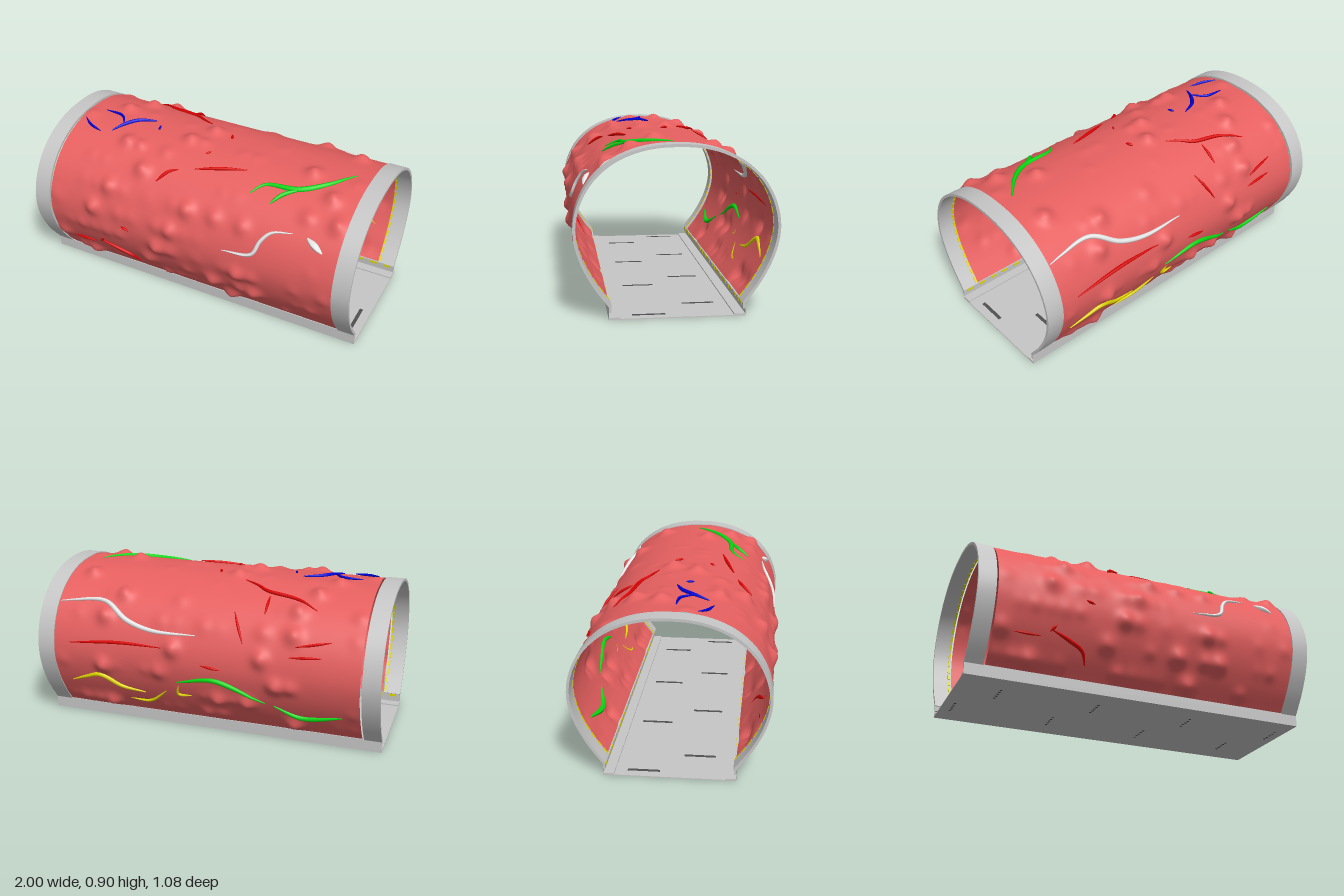
import * as THREE from 'three';
import { toCreasedNormals } from 'three/addons/utils/BufferGeometryUtils.js';

const mat = (name, color, side = THREE.FrontSide) => {
  const m = new THREE.MeshStandardMaterial({ color, side });
  m.name = name;
  return m;
};

// Arch cross-section as (z, y), from front foot over the crown to the back foot
const half = [[0.342, 0.06], [0.425, 0.175], [0.485, 0.29], [0.515, 0.39], [0.521, 0.46], [0.51, 0.54],
  [0.477, 0.63], [0.42, 0.715], [0.33, 0.792], [0.22, 0.844], [0.11, 0.869]];
const arch = new THREE.CatmullRomCurve3([
  ...half.map(([z, y]) => new THREE.Vector3(0, y, z)),
  new THREE.Vector3(0, 0.875, 0),
  ...half.slice().reverse().map(([z, y]) => new THREE.Vector3(0, y, -z)),
]);
arch.arcLengthDivisions = 800;
const N = 160;
const ARC = arch.getLength();
const profile = arch.getSpacedPoints(N);
const normals = profile.map((_, i) => {
  const t = profile[Math.min(i + 1, N)].clone().sub(profile[Math.max(i - 1, 0)]);
  return new THREE.Vector3(0, -t.z, t.y).normalize();
});

// Point on the arch at length fraction u, pushed out along the normal
function archPoint(x, u, offset) {
  const f = THREE.MathUtils.clamp(u, 0, 1) * N;
  const i = Math.min(Math.floor(f), N - 1);
  const p = profile[i].clone().lerp(profile[i + 1], f - i);
  const n = normals[i].clone().lerp(normals[i + 1], f - i).normalize();
  p.addScaledVector(n, offset);
  p.x = x;
  return p;
}

// Arch fraction for a given z over the crown, or a given y on the front or back flank
function fractionAt(face, v) {
  let best = 0, err = Infinity;
  profile.forEach((p, i) => {
    if (face === 'front' && i > N / 2) return;
    if (face === 'back' && i < N / 2) return;
    if (face === 'top' && p.y < 0.46) return;
    const e = Math.abs((face === 'top' ? p.z : p.y) - v);
    if (e < err) { err = e; best = i / N; }
  });
  return best;
}

// Veins: face, radius, then (x, z) on the crown or (x, y) on a flank
const VEINS = {
  blue: [
    ['top', 0.012, [[-0.45, -0.01], [-0.55, 0.03], [-0.61, 0.1], [-0.65, 0.18]]],
    ['top', 0.008, [[-0.79, 0.01], [-0.67, 0.03], [-0.61, 0.1]]],
    ['top', 0.008, [[-0.86, 0.13], [-0.8, 0.18], [-0.71, 0.205]]],
    ['top', 0.007, [[-0.4, 0.03], [-0.39, 0.07]]],
  ],
  red: [
    ['top', 0.011, [[-0.61, -0.335], [-0.475, -0.275], [-0.3, -0.235], [-0.235, -0.185], [-0.15, -0.155]]],
    ['top', 0.008, [[-0.33, -0.39], [-0.33, -0.28]]],
    ['top', 0.008, [[-0.235, -0.49], [-0.16, -0.39]]],
    ['top', 0.008, [[-0.72, -0.46], [-0.53, -0.485]]],
    ['top', 0.01, [[-0.04, 0.27], [0.085, 0.24], [0.245, 0.19]]],
    ['top', 0.01, [[-0.23, 0.39], [-0.18, 0.33], [-0.13, 0.3]]],
    ['top', 0.008, [[0.02, -0.08], [0.04, -0.035]]],
    ['top', 0.006, [[-0.03, 0.16], [-0.01, 0.13]]],
    ['front', 0.012, [[-0.58, 0.27], [-0.47, 0.23], [-0.39, 0.19], [-0.36, 0.13]]],
    ['front', 0.008, [[-0.78, 0.23], [-0.63, 0.23]]],
    ['front', 0.008, [[-0.585, 0.26], [-0.55, 0.3]]],
    ['front', 0.008, [[-0.4, 0.46], [-0.35, 0.44]]],
    ['back', 0.01, [[0.8, 0.51], [0.5, 0.53], [0.23, 0.54]]],
    ['back', 0.008, [[-0.5, 0.56], [-0.68, 0.57]]],
    ['back', 0.008, [[0, 0.46], [-0.12, 0.45]]],
  ],
  green: [
    ['top', 0.016, [[0.32, 0.31], [0.38, 0.25], [0.57, 0.22], [0.7, 0.135], [0.81, 0]]],
    ['top', 0.012, [[0.45, 0.34], [0.5, 0.28], [0.58, 0.22]]],
    ['back', 0.015, [[0.15, 0.33], [-0.07, 0.37], [-0.24, 0.32], [-0.36, 0.26]]],
    ['back', 0.016, [[-0.41, 0.24], [-0.56, 0.18], [-0.79, 0.22]]],
  ],
  white: [
    ['top', 0.015, [[0.04, -0.48], [0.3, -0.48], [0.46, -0.46], [0.62, -0.4], [0.81, -0.41], [0.89, -0.415]]],
    ['front', 0.011, [[0.25, 0.525], [0.425, 0.55], [0.465, 0.635], [0.515, 0.68], [0.63, 0.7]]],
    ['front', 0.02, [[0.71, 0.7], [0.76, 0.68], [0.81, 0.655]]],
  ],
  yellow: [
    ['back', 0.014, [[0.36, 0.22], [0.5, 0.24], [0.62, 0.31], [0.72, 0.29], [0.82, 0.24]]],
    ['back', 0.009, [[0.47, 0.16], [0.35, 0.15], [0.22, 0.26]]],
    ['back', 0.008, [[0.14, 0.32], [0.15, 0.25], [0.07, 0.24]]],
  ],
};
// Unrolled vein paths: x along the tunnel, y along the arch
const veins = Object.entries(VEINS).flatMap(([colour, list]) => list.map(([face, radius, pts]) => ({
  colour,
  radius,
  flat: new THREE.CatmullRomCurve3(pts.map(([x, v]) => new THREE.Vector3(x, fractionAt(face, v) * ARC, 0))).getPoints(24),
})));
const veinPoints = veins.flatMap((v) => v.flat);

// Swellings on a regular grid of cells, with a few tall ones per row, kept clear of the veins
let seed = 11;
const rand = () => {
  seed = (seed * 16807) % 2147483647;
  return seed / 2147483647;
};
const ROWS = 16, COLS = 21;
const bumps = [];
for (let r = 0; r < ROWS; r++) {
  const s = ((r + 0.5) / ROWS) * ARC;
  const flank = r < 5 || r > ROWS - 6;
  const row = [];
  for (let c = 0; c < COLS; c++) {
    const keep = rand() < (flank ? 0.55 : 0.35), h = rand(), w = rand();
    const x = -0.85 + (c * 1.7) / (COLS - 1);
    const clear = veinPoints.every((p) => Math.hypot(p.x - x, p.y - s) > 0.06);
    if (keep && clear) row.push({ x, s, h: 0.004 + 0.018 * h * h, w: 0.036 + 0.012 * w });
  }
  for (const k of [0.1, 0.6]) {
    const tall = row[Math.floor((k + 0.3 * rand()) * row.length)];
    if (tall) { tall.h = 0.034; tall.w = 0.046; }
  }
  bumps.push(...row);
}
function skinPoint(x, u, lift = 0) {
  let h = -0.006;
  for (const b of bumps) {
    const d2 = ((x - b.x) ** 2 + (u * ARC - b.s) ** 2) / (b.w * b.w);
    if (d2 < 8) h += b.h * Math.exp(-d2);
  }
  return archPoint(x, u, h + lift);
}

function skinGeometry(x0, x1, nx) {
  const pos = [], index = [];
  for (let i = 0; i <= N; i++) {
    for (let j = 0; j <= nx; j++) {
      const p = skinPoint(x0 + ((x1 - x0) * j) / nx, i / N);
      pos.push(p.x, p.y, p.z);
      if (i < N && j < nx) {
        const a = i * (nx + 1) + j, c = a + nx + 1;
        index.push(a, a + 1, c, a + 1, c + 1, c);
      }
    }
  }
  const g = new THREE.BufferGeometry();
  g.setAttribute('position', new THREE.Float32BufferAttribute(pos, 3));
  g.setIndex(index);
  g.computeVertexNormals();
  return g;
}

// Band following part of the arch between two normal offsets
function bandGeometry(outer, inner, x0, width, u0 = 0, u1 = 1, n = 80) {
  const pts = [];
  for (let i = 0; i <= n; i++) pts.push(archPoint(0, u0 + ((u1 - u0) * i) / n, outer));
  for (let i = n; i >= 0; i--) pts.push(archPoint(0, u0 + ((u1 - u0) * i) / n, inner));
  const shape = new THREE.Shape(pts.map((p) => new THREE.Vector2(-p.z, p.y)));
  const g = new THREE.ExtrudeGeometry(shape, { depth: width, bevelEnabled: false });
  g.rotateY(Math.PI / 2);
  g.translate(x0, 0, 0);
  return toCreasedNormals(g, 0.6);
}

// Tapered tube lying along the skin
function veinGeometry({ flat, radius }) {
  const path = new THREE.CatmullRomCurve3(flat.map((p) => skinPoint(p.x, p.y / ARC, 0.011 - radius * 0.6)));
  const n = 40, sides = 8;
  const g = new THREE.TubeGeometry(path, n, radius, sides);
  const pos = g.attributes.position, p = new THREE.Vector3();
  for (let i = 0; i <= n; i++) {
    const c = path.getPointAt(i / n), k = 0.2 + 0.8 * Math.sin((Math.PI * i) / n);
    for (let j = 0; j <= sides; j++) {
      const id = i * (sides + 1) + j;
      p.fromBufferAttribute(pos, id).sub(c).multiplyScalar(k).add(c);
      pos.setXYZ(id, p.x, p.y, p.z);
    }
  }
  g.computeVertexNormals();
  return g;
}

export function createModel() {
  const group = new THREE.Group();
  const skin = mat('skin red', 0xe86060, THREE.DoubleSide);
  const grey = mat('frame grey', 0xc6c6c6, THREE.DoubleSide);
  const dark = mat('slot grey', 0x505050);
  const veinMats = {
    blue: mat('vein blue', 0x0000d4), red: mat('vein red', 0xdc0000), green: mat('vein green', 0x08d810),
    white: mat('vein white', 0xe8e8e8), yellow: mat('vein yellow', 0xe0d800),
  };
  const add = (name, geometry, material, x = 0, y = 0, z = 0) => {
    const m = new THREE.Mesh(geometry, material);
    m.name = name;
    m.position.set(x, y, z);
    group.add(m);
  };
  const box = (name, w, h, d, material, x, y, z) => add(name, new THREE.BoxGeometry(w, h, d), material, x, y, z);

  add('bumpySkin', skinGeometry(-0.89, 0.9, 190), skin);

  // End rings with a dashed seal inside each
  const DASHES = 44;
  for (const s of [-1, 1]) {
    add('endRing', bandGeometry(0, -0.015, s < 0 ? -1 : 0.9, 0.1), grey);
    for (let i = 0; i < DASHES; i++) {
      const u = (i + 0.15) / DASHES;
      add('ringSeal', bandGeometry(-0.014, -0.0175, s < 0 ? -0.913 : 0.901, 0.012, u, u + 0.7 / DASHES, 2), veinMats.yellow);
    }
  }

  for (const v of veins) add(v.colour + 'Vein', veinGeometry(v), veinMats[v.colour]);

  // Floor, edge strips, side walls and top rails
  box('floor', 2, 0.005, 0.69, grey, 0, 0.0025, 0);
  for (const s of [-1, 1]) {
    box('floorEdge', 2, 0.012, 0.056, grey, 0, 0.006, s * 0.317);
    add('sideWall', new THREE.PlaneGeometry(2, 0.062), grey, 0, 0.031, s * 0.3455);
    box('sideRail', 2, 0.03, 0.012, grey, 0, 0.052, s * 0.339);
    for (let i = 0; i < 24; i++) {
      box('railMark', 0.042, 0.014, 0.003, veinMats.yellow, -0.955 + i * 0.083, 0.056, s * 0.3325);
    }
  }

  // Floor slots: long on top, rows of short dashes underneath
  for (const s of [-1, 1]) {
    for (const x of [-0.76, -0.2, 0.37, 0.94]) {
      box('floorSlot', 0.02, 0.001, 0.17, dark, s * x, 0.0051, s * 0.14);
      for (let i = 0; i < 5; i++) box('slotDash', 0.014, 0.001, 0.014, dark, s * x, 0.0002, s * (0.08 + i * 0.03));
    }
  }
  return group;
}
